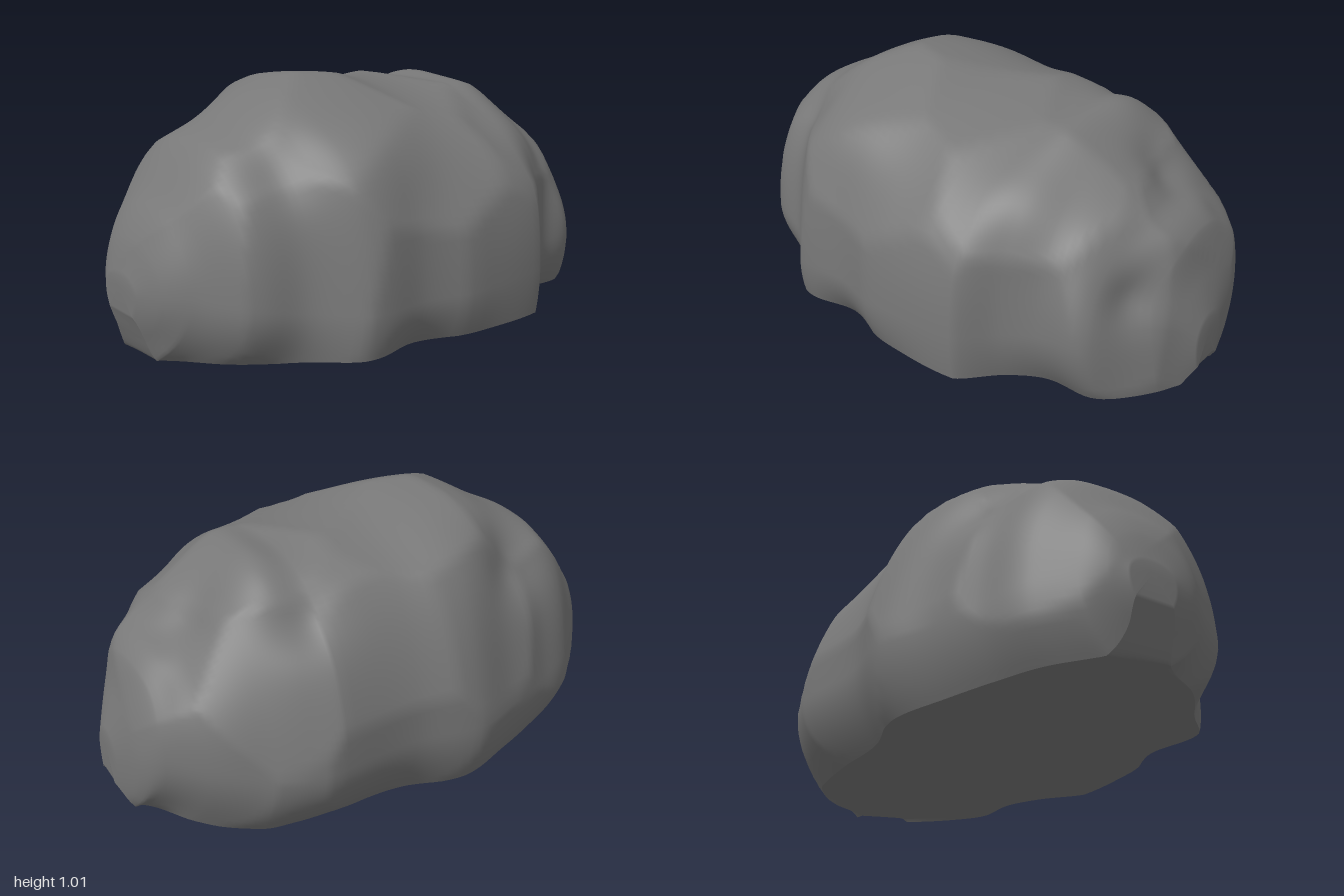
import * as THREE from 'three';

// Cross-sections along x:
// [x, top y, widest y, front z, back z, crown z, lowest y, front tuck, back tuck]
const STATIONS = [
  [-1.0, 0.38, 0.32, -0.01, -0.19, -0.1, 0.25, 0.1, 0.1],
  [-0.96, 0.51, 0.33, 0.11, -0.25, -0.09, 0.16, 0.32, 0.2],
  [-0.9, 0.63, 0.33, 0.21, -0.32, -0.08, 0.06, 0.36, 0.18],
  [-0.77, 0.79, 0.32, 0.37, -0.44, -0.06, 0, 0.2, 0.12],
  [-0.6, 0.9, 0.29, 0.45, -0.5, -0.05, 0, 0.08, 0.08],
  [-0.42, 0.985, 0.28, 0.58, -0.56, -0.05, 0, 0.03, 0.06],
  [-0.2, 1.01, 0.28, 0.61, -0.645, -0.05, 0, 0.06, 0.07],
  [0.05, 0.965, 0.28, 0.66, -0.635, -0.05, 0, 0.03, 0.1],
  [0.35, 0.925, 0.28, 0.63, -0.645, -0.05, 0, 0.02, 0.12],
  [0.48, 0.93, 0.28, 0.53, -0.62, -0.06, 0, 0.05, 0.12],
  [0.6, 0.855, 0.29, 0.47, -0.58, -0.06, 0, 0.08, 0.12],
  [0.78, 0.69, 0.31, 0.43, -0.5, -0.08, 0, 0.08, 0.2],
  [0.91, 0.6, 0.32, 0.22, -0.38, -0.08, 0, 0.06, 0.38],
  [0.96, 0.44, 0.28, 0.12, -0.28, -0.06, 0.05, 0.08, 0.32],
  [1.0, 0.29, 0.2, 0.05, -0.1, -0.02, 0.11, 0.1, 0.1],
];

// Centres of the broad worn facets
const FACETS = [
  [-0.58, 0.4, 0.42], [-0.88, 0.4, 0.15], [-0.2, 0.3, 0.6], [-0.1, 0.7, 0.45],
  [0.12, 0.3, 0.62], [0.55, 0.3, 0.48], [0.45, 0.75, 0.3], [0.85, 0.4, 0.3],
  [0.98, 0.35, 0], [0.85, 0.6, -0.2], [-0.55, 0.9, -0.1], [-0.1, 1, -0.2],
  [0.1, 0.95, 0.1], [0.5, 0.92, -0.1], [-0.75, 0.5, -0.4], [-0.3, 0.6, -0.55],
  [0.1, 0.6, -0.6], [0.1, 0.25, -0.63], [0.6, 0.6, -0.55], [0.85, 0.3, -0.42],
  [-0.9, 0.7, -0.1], [-0.25, 0.85, 0.25],
].map((p) => new THREE.Vector3(...p));

// Hollows, and swellings where the depth is negative: [x, y, z, radius, depth]
const DENTS = [
  [0.87, 0.45, 0.27, 0.12, 0.05],
  [0.42, 0.8, -0.46, 0.13, 0.045],
  [0.7, 0.75, -0.16, 0.12, 0.04],
  [0.88, 0.58, -0.3, 0.12, 0.02],
  [-0.6, 0.76, 0.3, 0.12, 0.025],
  [-0.5, 0.76, -0.38, 0.14, 0.06],
  [-0.25, 0.78, 0.44, 0.18, -0.035],
  [0.47, 0.7, 0.38, 0.16, -0.035],
  [0.5, 0.9, -0.2, 0.15, -0.02],
];

const CORE = new THREE.Vector3(0, 0.3, 0);
const ARC = 72, WALL = 10, STEPS = 8, FLOOR = 16;

// Smooth interpolation between neighbouring cross-sections
function sectionAt(i, t) {
  const at = (k) => STATIONS[THREE.MathUtils.clamp(k, 0, STATIONS.length - 1)];
  const [a, b, c, d] = [at(i - 1), at(i), at(i + 1), at(i + 2)];
  const slope = (p, q, k) => (q[k] - p[k]) / (q[0] - p[0]);
  const w = c[0] - b[0];
  return b.map((v, k) => {
    if (k === 0) return v + w * t;
    const m0 = slope(a, c, k) * w, m1 = slope(b, d, k) * w;
    const t2 = t * t, t3 = t2 * t;
    return (2 * t3 - 3 * t2 + 1) * v + (t3 - 2 * t2 + t) * m0
      + (3 * t2 - 2 * t3) * c[k] + (t3 - t2) * m1;
  });
}

// Flattens the surface around each facet centre and adds the dents
function weather(p) {
  const near = Math.min(...FACETS.map((f) => f.distanceToSquared(p)), 0.1);
  let push = 0.38 * (near - 0.045);
  for (const [x, y, z, r, depth] of DENTS) {
    const d2 = (p.x - x) ** 2 + (p.y - y) ** 2 + (p.z - z) ** 2;
    push -= depth * Math.exp(-d2 / (r * r));
  }
  const ends = THREE.MathUtils.smoothstep(1.02 - Math.abs(p.x), 0, 0.15);
  const dir = p.clone().sub(CORE);
  dir.x *= 0.5;
  dir.y *= THREE.MathUtils.smoothstep(p.y, 0.12, 0.4);
  return p.addScaledVector(dir.normalize(), push * ends);
}

const groundY = (x, z, low) => Math.max(0.06 + 0.085 * z - 0.02 * x, low, 0);

// One open section: front foot, over the crown, back foot
function sectionPoints([x, top, mid, front, back, crown, low, frontTuck, backTuck]) {
  const pts = [];
  const width = front - back;
  // Wall below the widest line, curving in towards the foot
  const wall = (side, tuck, s) => {
    const footY = groundY(x, side + tuck * width, low);
    return new THREE.Vector3(x, mid + (footY - mid) * s, side + tuck * width * s * s);
  };
  for (let j = WALL; j > 0; j--) pts.push(wall(front, -frontTuck, j / WALL));
  for (let j = 0; j <= ARC; j++) {
    const a = (j / ARC) * Math.PI, c = Math.cos(a);
    const e = 2 / (c > 0 ? 2.1 : 2.25);
    const side = c > 0 ? front : back;
    pts.push(new THREE.Vector3(
      x,
      mid + (top - mid) * Math.pow(Math.max(Math.sin(a), 0), e),
      crown + (side - crown) * Math.pow(Math.abs(c), e),
    ));
  }
  for (let j = 1; j <= WALL; j++) pts.push(wall(back, backTuck, j / WALL));
  return pts.map(weather);
}

// Skins a list of equal-length rows
function loft(rows, flip) {
  const n = rows[0].length, index = [];
  for (let i = 0; i < rows.length - 1; i++) {
    for (let j = 0; j < n - 1; j++) {
      const a = i * n + j, b = a + 1, c = a + n, d = c + 1;
      if (flip) index.push(a, b, c, b, d, c);
      else index.push(a, c, b, b, c, d);
    }
  }
  const g = new THREE.BufferGeometry().setFromPoints(rows.flat());
  g.setIndex(index);
  g.computeVertexNormals();
  return g;
}

export function createModel() {
  const group = new THREE.Group();
  group.name = 'boulder';
  const material = new THREE.MeshStandardMaterial({ color: 0x787878, side: THREE.DoubleSide });

  const rows = [];
  for (let i = 0; i < STATIONS.length - 1; i++) {
    for (let k = 0; k < STEPS; k++) rows.push(sectionPoints(sectionAt(i, k / STEPS)));
  }
  rows.push(sectionPoints(STATIONS[STATIONS.length - 1]));

  // Underside: spans each section's two feet, with shallow ribs
  const floor = rows.map((row) => {
    const a = row[0], b = row[row.length - 1];
    return Array.from({ length: FLOOR + 1 }, (_, j) => {
      const p = a.clone().lerp(b, j / FLOOR);
      if (j > 0 && j < FLOOR) p.y += 0.006 * (1 + Math.sin(p.x * 21 + p.z * 4));
      return p;
    });
  });

  // Close both ends onto their middle
  const middle = (row) => row.reduce((s, p) => s.add(p), new THREE.Vector3()).divideScalar(row.length);
  const first = middle(rows[0]), last = middle(rows[rows.length - 1]);
  const closed = (list) => [list[0].map(() => first), ...list, list[0].map(() => last)];

  const stone = new THREE.Mesh(loft(closed(rows), false), material);
  stone.name = 'stoneBody';
  const underside = new THREE.Mesh(loft(closed(floor), true), material);
  underside.name = 'underside';
  group.add(stone, underside);
  return group;
}
